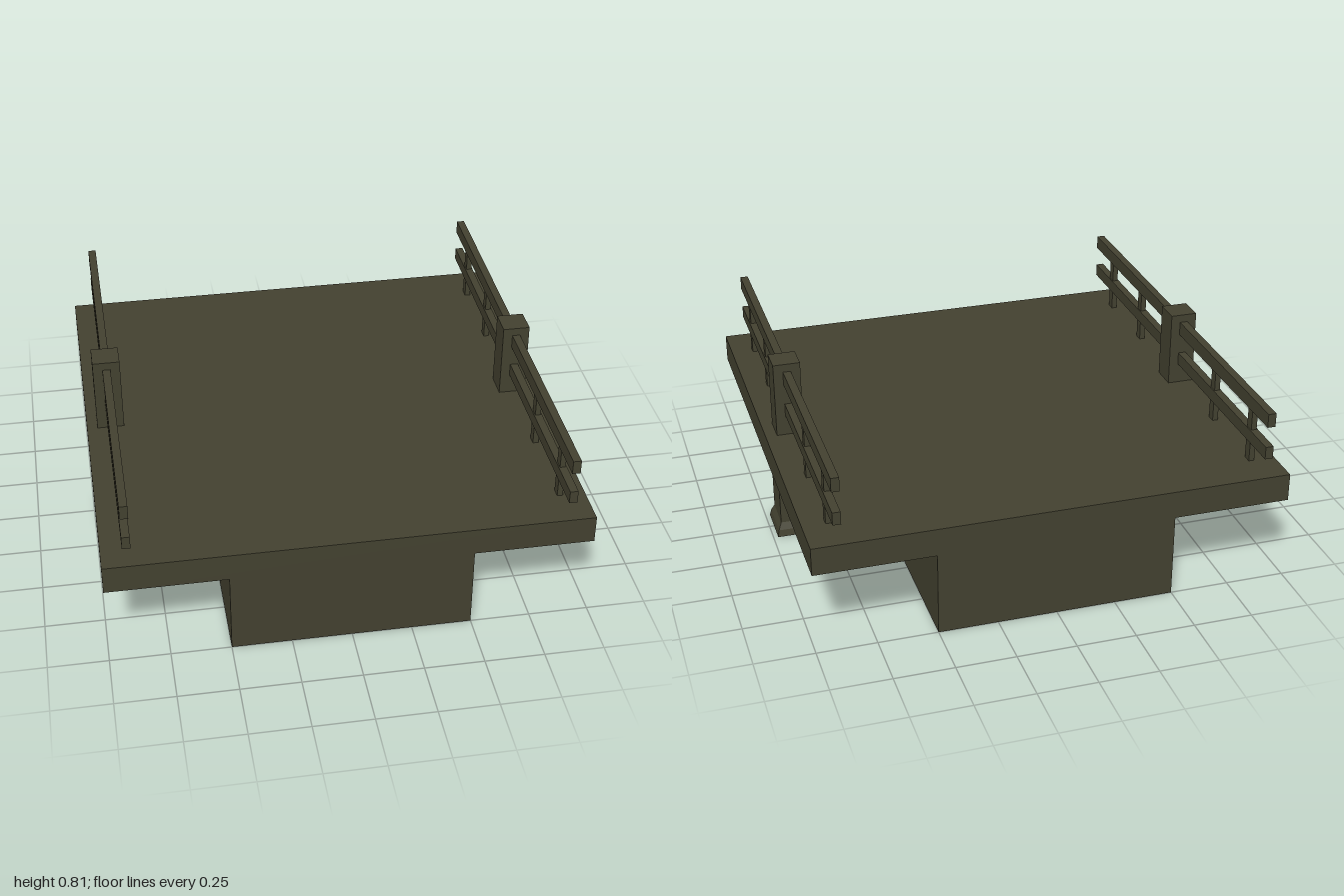
import * as THREE from 'three';

export function createModel() {
  const model = new THREE.Group();
  model.name = 'bridgeSection';
  const concrete = new THREE.MeshStandardMaterial({ color: 0x434130, side: THREE.DoubleSide });
  concrete.name = 'oliveConcrete';

  const add = (parent, name, geometry) => {
    const mesh = new THREE.Mesh(geometry, concrete);
    mesh.name = name;
    parent.add(mesh);
    return mesh;
  };

  // Box given by its lower and upper corners
  const box = (parent, name, x0, x1, y0, y1, z0, z1) => {
    const mesh = add(parent, name, new THREE.BoxGeometry(x1 - x0, y1 - y0, z1 - z0));
    mesh.position.set((x0 + x1) / 2, (y0 + y1) / 2, (z0 + z1) / 2);
    return mesh;
  };

  // Drop the top and bottom faces of a box, leaving four walls
  const openEnds = (mesh) => {
    const index = Array.from(mesh.geometry.index.array);
    mesh.geometry.setIndex([...index.slice(0, 12), ...index.slice(24)]);
    mesh.geometry.clearGroups();
  };

  // Road deck and the hollow girder beneath it
  box(model, 'deck', -1, 1, 0.36, 0.48, -1, 1);
  openEnds(box(model, 'girder', -0.5, 0.5, 0, 0.36, -1, 1));

  // Square flared foot, open underneath
  const profile = [[0.1, 0], [0.094, 0.03], [0.08, 0.06]]
    .map(([half, y]) => new THREE.Vector2(half * Math.SQRT2, y));
  const footGeometry = new THREE.LatheGeometry(profile, 4, Math.PI / 4).toNonIndexed();
  footGeometry.computeVertexNormals();

  for (const side of [-1, 1]) {
    const label = side > 0 ? 'left' : 'right';

    // Support column
    const support = new THREE.Group();
    support.name = label + 'Support';
    model.add(support);
    openEnds(box(support, 'column', side * 0.88 - 0.08, side * 0.88 + 0.08, 0.06, 0.36, -0.08, 0.08));
    add(support, 'foot', footGeometry).position.x = side * 0.88;

    // Railing, with a slight shift between the two sides
    const railing = new THREE.Group();
    railing.name = label + 'Railing';
    railing.position.set(side > 0 ? 0.893 : -0.897, 0, side > 0 ? -0.002 : -0.016);
    model.add(railing);
    box(railing, 'post', -0.058, 0.058, 0.48, 0.81, -0.058, 0.058);
    const shift = railing.position.z;
    for (const [y0, y1] of [[0.57, 0.625], [0.715, 0.775]]) {
      box(railing, 'rail', -0.017, 0.017, y0, y1, -1 - shift, 1 - shift);
    }
    for (const z of [-0.81, -0.433, 0.438, 0.815]) {
      box(railing, 'baluster', -0.012, 0.012, 0.48, 0.72, z - 0.02, z + 0.02);
    }
  }
  return model;
}
